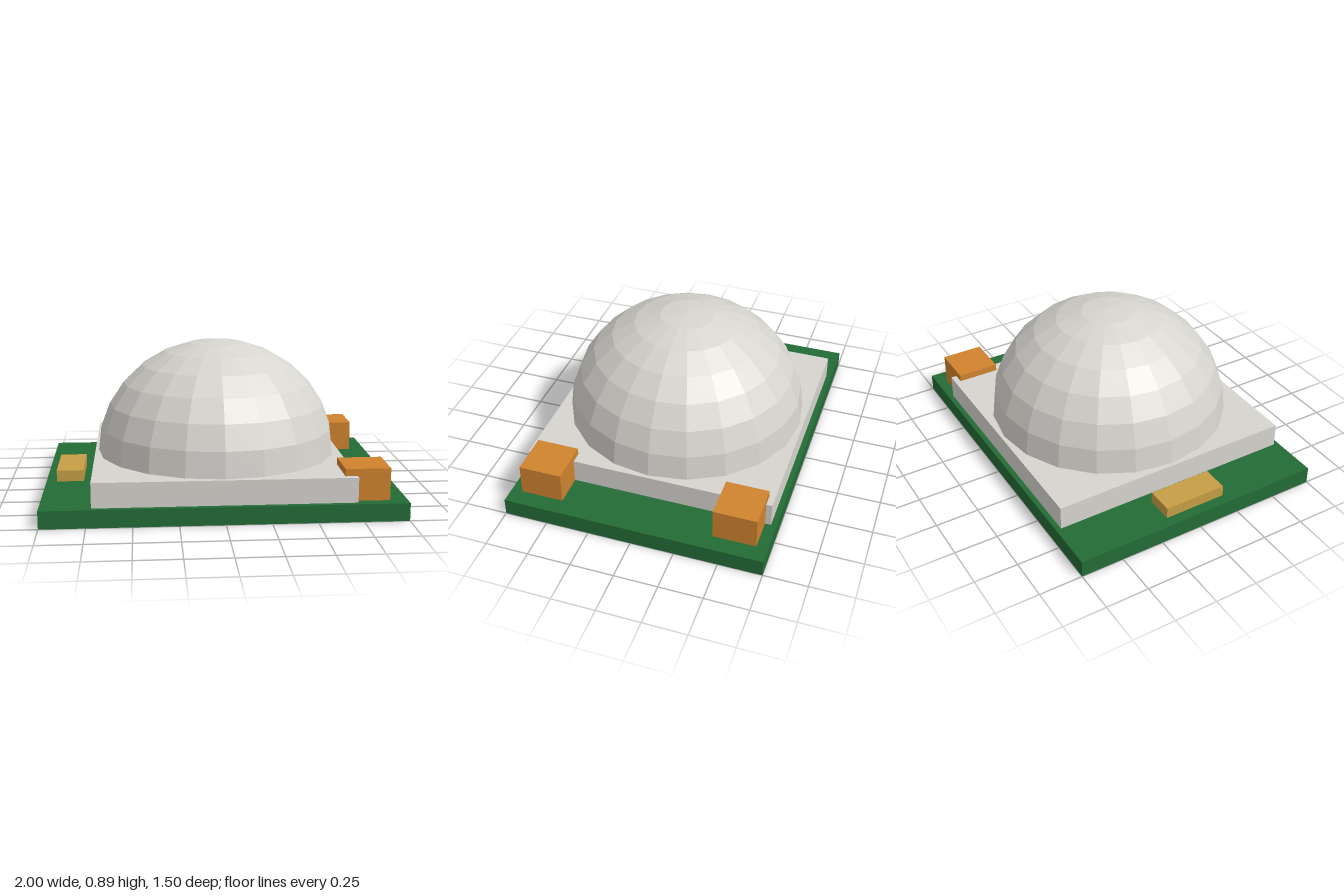
import * as THREE from 'three';

const mat = (name, color) => {
  const m = new THREE.MeshStandardMaterial({ color });
  m.name = name;
  return m;
};

export function createModel() {
  const green = mat('board green', 0x236b36);
  const grey = mat('pale grey', 0xd6d4ce);
  const orange = mat('orange', 0xd0832e);
  const gold = mat('gold', 0xc69e44);

  const model = new THREE.Group();
  model.name = 'domedSensorBoard';

  const add = (name, geometry, material, x, y, z) => {
    const mesh = new THREE.Mesh(geometry, material);
    mesh.name = name;
    mesh.position.set(x, y, z);
    model.add(mesh);
  };
  // Box resting on height y
  const block = (name, material, w, h, d, x, y, z) =>
    add(name, new THREE.BoxGeometry(w, h, d), material, x, y + h / 2, z);

  // Circuit board and the square lens base on it
  block('circuitBoard', green, 2, 0.1, 1.5, 0, 0, 0);
  block('lensBase', grey, 1.44, 0.14, 1.44, 0, 0.1, 0);

  // Slightly flattened, faceted dome
  const dome = new THREE.SphereGeometry(0.7, 20, 7, 0, Math.PI * 2, 0, Math.PI / 2)
    .scale(1, 0.655 / 0.7, 1)
    .toNonIndexed();
  dome.computeVertexNormals();
  add('lensDome', dome, grey, 0, 0.24, 0);

  // Adjusting knobs at two corners
  for (const side of [1, -1]) {
    block(side > 0 ? 'frontKnob' : 'backKnob', orange, 0.25, 0.18, 0.246, 0.777, 0.1, side * 0.563);
  }

  // Connector strip on the opposite edge
  block('connectorStrip', gold, 0.155, 0.065, 0.37, -0.862, 0.1, 0);

  return model;
}
